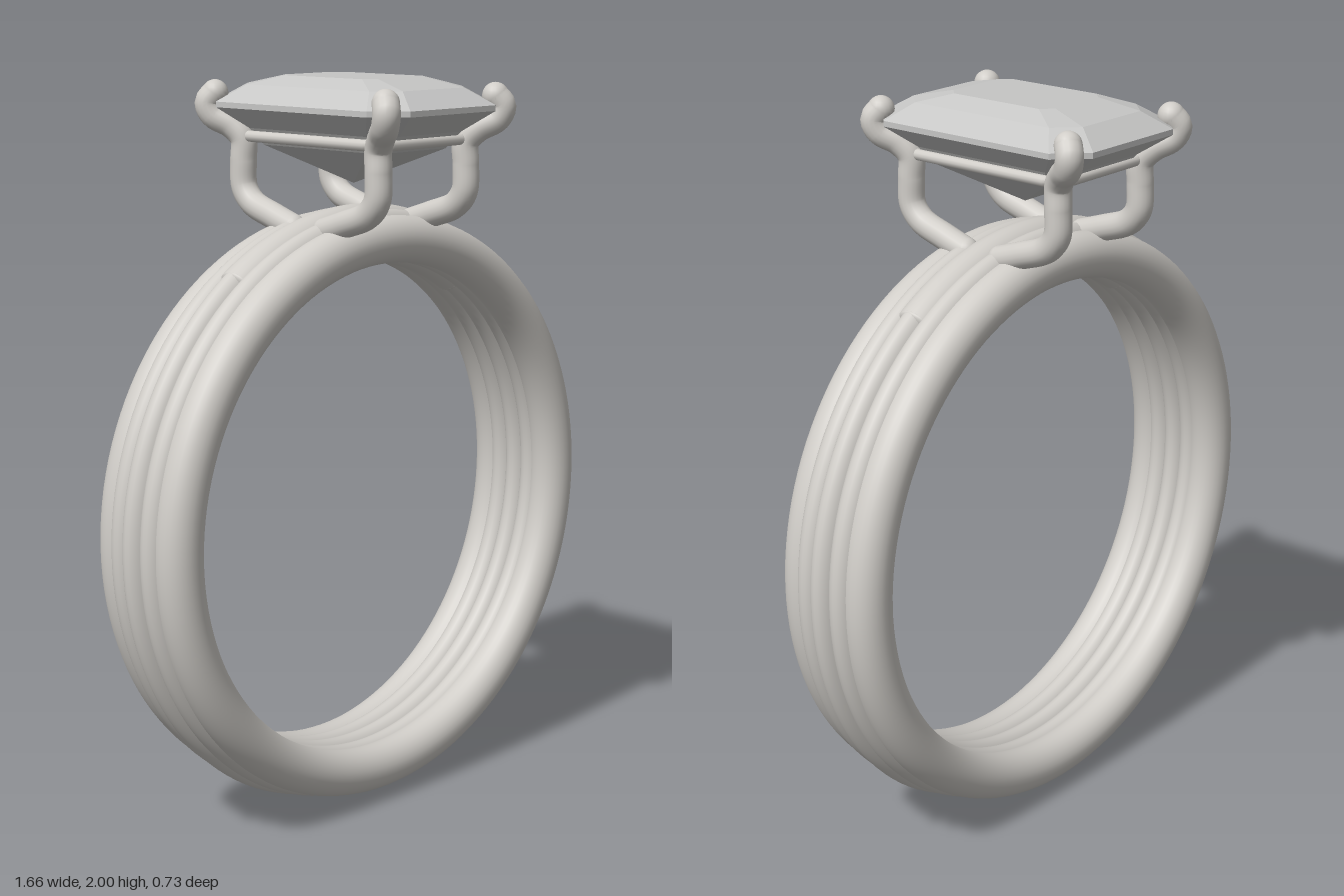
import * as THREE from 'three';

const CENTRE_Y = 0.83;

// Corners of a rectangle with cut corners, counter-clockwise from above
function cutRect(w, d, c, y) {
  return [
    [w, d - c], [w, c - d], [w - c, -d], [c - w, -d],
    [-w, c - d], [-w, d - c], [c - w, d], [w - c, d],
  ].map(([x, z]) => new THREE.Vector3(x, y, z));
}

// Faceted stone built from rings running from the top down
function stoneGeometry(rings) {
  const pts = [];
  const tri = (a, b, c) => {
    if (a.equals(b) || b.equals(c) || a.equals(c)) return;
    pts.push(a, b, c);
  };
  for (let r = 0; r < rings.length - 1; r++) {
    const a = rings[r], b = rings[r + 1];
    for (let i = 0; i < 8; i++) {
      const j = (i + 1) % 8;
      tri(b[i], b[j], a[j]);
      tri(b[i], a[j], a[i]);
    }
  }
  const geo = new THREE.BufferGeometry().setFromPoints(pts);
  geo.computeVertexNormals();
  return geo;
}

export function createModel() {
  const metalMat = new THREE.MeshStandardMaterial({ color: 0xd0cdc8 });
  metalMat.name = 'metal';
  const stoneMat = new THREE.MeshStandardMaterial({ color: 0xc6c6c5 });
  stoneMat.name = 'stone';

  const ring = new THREE.Group();
  ring.name = 'ring';
  const add = (parent, name, geo, mat = metalMat) => {
    const mesh = new THREE.Mesh(geo, mat);
    mesh.name = name;
    parent.add(mesh);
    return mesh;
  };

  // Band: five overlapping strands, [z, outer radius, inner radius, half width]
  const band = new THREE.Group();
  band.name = 'band';
  band.position.y = CENTRE_Y;
  ring.add(band);
  const strands = [
    [0, 0.828, 0.675, 0.045],
    [0.055, 0.817, 0.677, 0.045], [-0.055, 0.817, 0.677, 0.045],
    [0.104, 0.804, 0.677, 0.061], [-0.104, 0.804, 0.677, 0.061],
  ];
  for (const [z, outer, inner, half] of strands) {
    const tube = (outer - inner) / 2;
    const geo = new THREE.TorusGeometry((outer + inner) / 2, tube, 28, 128);
    geo.scale(1, 1, half / tube);
    add(band, 'strand', geo).position.z = z;
  }

  // Smooth bridge filling the grooves under the setting, with rounded ends
  const reach = THREE.MathUtils.degToRad(33.5), bridgeR = 0.7475, bridgeT = 0.081;
  const bridge = new THREE.TorusGeometry(bridgeR, bridgeT, 28, 48, reach * 2);
  bridge.rotateZ(Math.PI / 2 - reach).scale(1, 1, 0.82);
  add(band, 'bridge', bridge);
  for (const s of [-1, 1]) {
    const end = new THREE.SphereGeometry(bridgeT, 28, 20);
    end.scale(0.3, 1, 0.82).translate(0, bridgeR, 0).rotateZ(s * reach);
    add(band, 'bridgeEnd', end);
  }

  // Four claws, each rising from the band and curling over a stone corner
  const clawPath = [
    [0.17, 1.605, 0.06], [0.17, 1.628, 0.13], [0.17, 1.66, 0.215],
    [0.17, 1.7, 0.247], [0.17, 1.77, 0.25], [0.17, 1.83, 0.25],
    [0.187, 1.865, 0.278], [0.217, 1.892, 0.317], [0.225, 1.925, 0.329],
    [0.212, 1.951, 0.314],
  ];
  const clawR = 0.036;
  for (const sx of [-1, 1]) for (const sz of [-1, 1]) {
    const claw = new THREE.Group();
    claw.name = 'claw';
    ring.add(claw);
    const pts = clawPath.map(([x, y, z]) => new THREE.Vector3(sx * x, y, sz * z));
    const curve = new THREE.CatmullRomCurve3(pts);
    add(claw, 'clawWire', new THREE.TubeGeometry(curve, 60, clawR, 18));
    for (const p of [pts[0], pts[pts.length - 1]]) {
      add(claw, 'clawTip', new THREE.SphereGeometry(clawR, 18, 14)).position.copy(p);
    }
  }

  // Thin rail joining the claws beneath the stone
  const railCurve = new THREE.CatmullRomCurve3(cutRect(0.178, 0.258, 0.04, 1.838), true, 'catmullrom', 0);
  add(ring, 'galleryRail', new THREE.TubeGeometry(railCurve, 192, 0.015, 12, true));

  // Step-cut stone: table, crown, girdle and pointed pavilion
  const stone = stoneGeometry([
    cutRect(0, 0, 0, 2),
    cutRect(0.117, 0.172, 0.03, 2),
    cutRect(0.178, 0.285, 0.06, 1.975),
    cutRect(0.243, 0.355, 0.078, 1.93),
    cutRect(0.243, 0.355, 0.078, 1.915),
    cutRect(0.18, 0.275, 0.06, 1.86),
    cutRect(0.15, 0.235, 0.045, 1.815),
    cutRect(0, 0, 0, 1.715),
  ]);
  add(ring, 'stone', stone, stoneMat);

  return ring;
}
